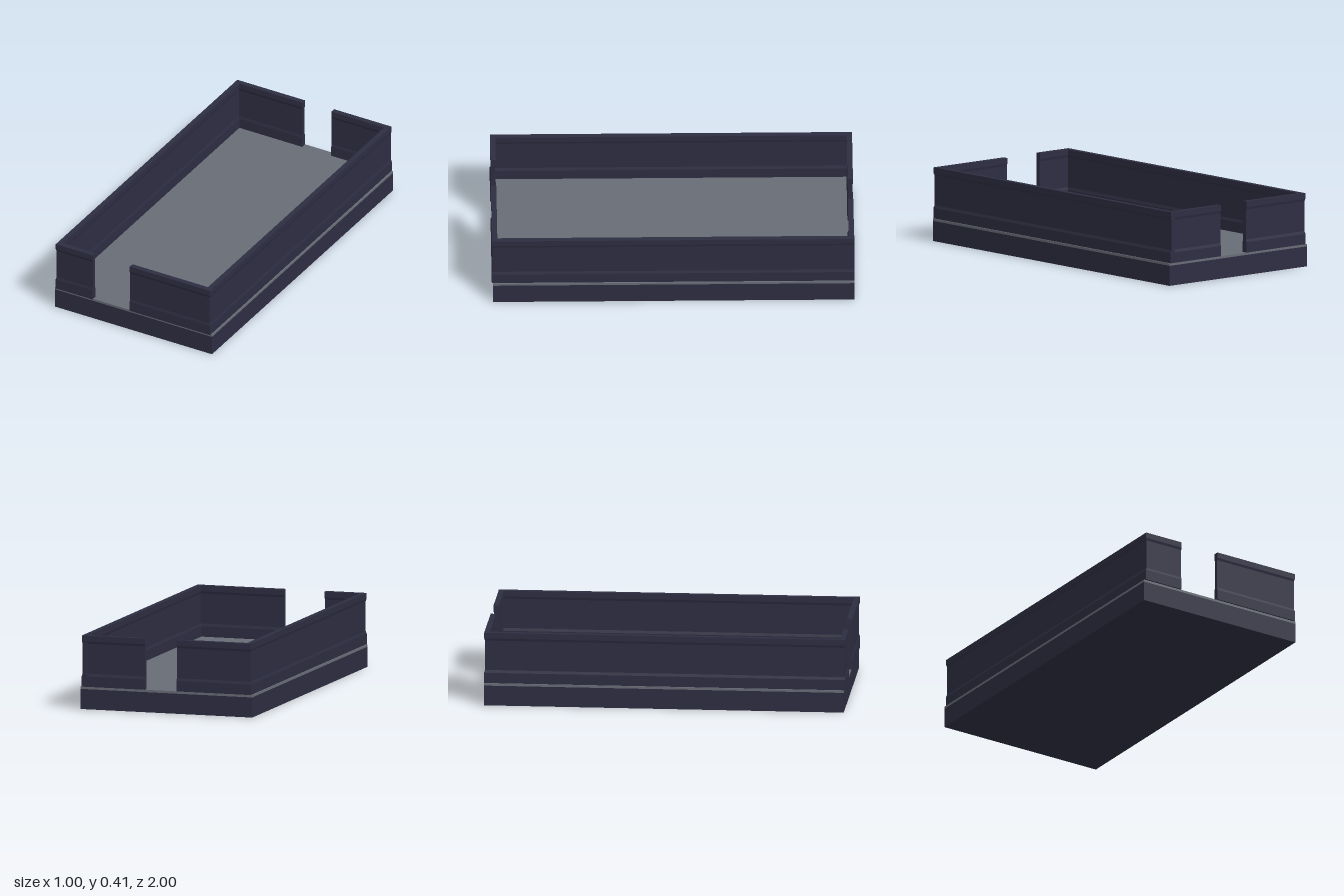
import * as THREE from 'three';

const navy = new THREE.MeshStandardMaterial({ color: 0x2d2d42 });
navy.name = 'darkNavy';
const grey = new THREE.MeshStandardMaterial({ color: 0x686c76 });
grey.name = 'slateGrey';

const FLOOR = 0.125;

// Wall section: x runs from the room outwards, with skirting and top rail on both faces
const section = new THREE.Shape([
  [0, FLOOR], [0.032, FLOOR], [0.032, 0.183], [0.027, 0.198], [0.027, 0.365], [0.031, 0.378],
  [0.031, 0.41], [0.001, 0.41], [0.001, 0.378], [0.005, 0.365], [0.005, 0.198], [0, 0.183],
].map(([x, y]) => new THREE.Vector2(x, y)));

// Sweep the section from a to b at a distance from the centre, mitring the ends asked for
function wall(name, angle, distance, a, b, mitreA, mitreB) {
  let geo = new THREE.ExtrudeGeometry(section, { depth: 1, bevelEnabled: false });
  const p = geo.attributes.position;
  for (let i = 0; i < p.count; i++) {
    const out = p.getX(i);
    const z = p.getZ(i) < 0.5 ? a - (mitreA ? out : 0) : b + (mitreB ? out : 0);
    p.setXYZ(i, distance + out, p.getY(i), z);
  }
  geo.rotateY(angle);
  geo.computeVertexNormals();
  const mesh = new THREE.Mesh(geo, navy);
  mesh.name = name;
  return mesh;
}

function slab(name, material, y0, y1) {
  const mesh = new THREE.Mesh(new THREE.BoxGeometry(1, y1 - y0, 1.99), material);
  mesh.position.set(0, (y0 + y1) / 2, -0.005);
  mesh.name = name;
  return mesh;
}

export function createModel() {
  const group = new THREE.Group();
  group.name = 'walledPlatform';

  // Foundation and floor
  group.add(slab('foundation', navy, 0, 0.112), slab('floor', grey, 0.112, FLOOR));

  const inX = 0.46, inFront = 0.966, inBack = 0.968, H = Math.PI / 2;

  // Long side walls; the left one runs square to the back edge
  group.add(
    wall('leftWall', 0, inX, -1, inFront, false, true),
    wall('rightWall', Math.PI, inX, -inFront, inBack, true, true),
  );

  // Front walls either side of the doorway (sweep runs towards -x)
  group.add(
    wall('frontWallLeft', -H, inFront, -inX, 0.02, true, false),
    wall('frontWallRight', -H, inFront, 0.257, inX, false, true),
  );

  // Back walls either side of the doorway (sweep runs towards +x)
  group.add(
    wall('backWallRight', H, inBack, -inX, -0.06, true, false),
    wall('backWallLeft', H, inBack, 0.125, inX, false, false),
  );
  return group;
}
